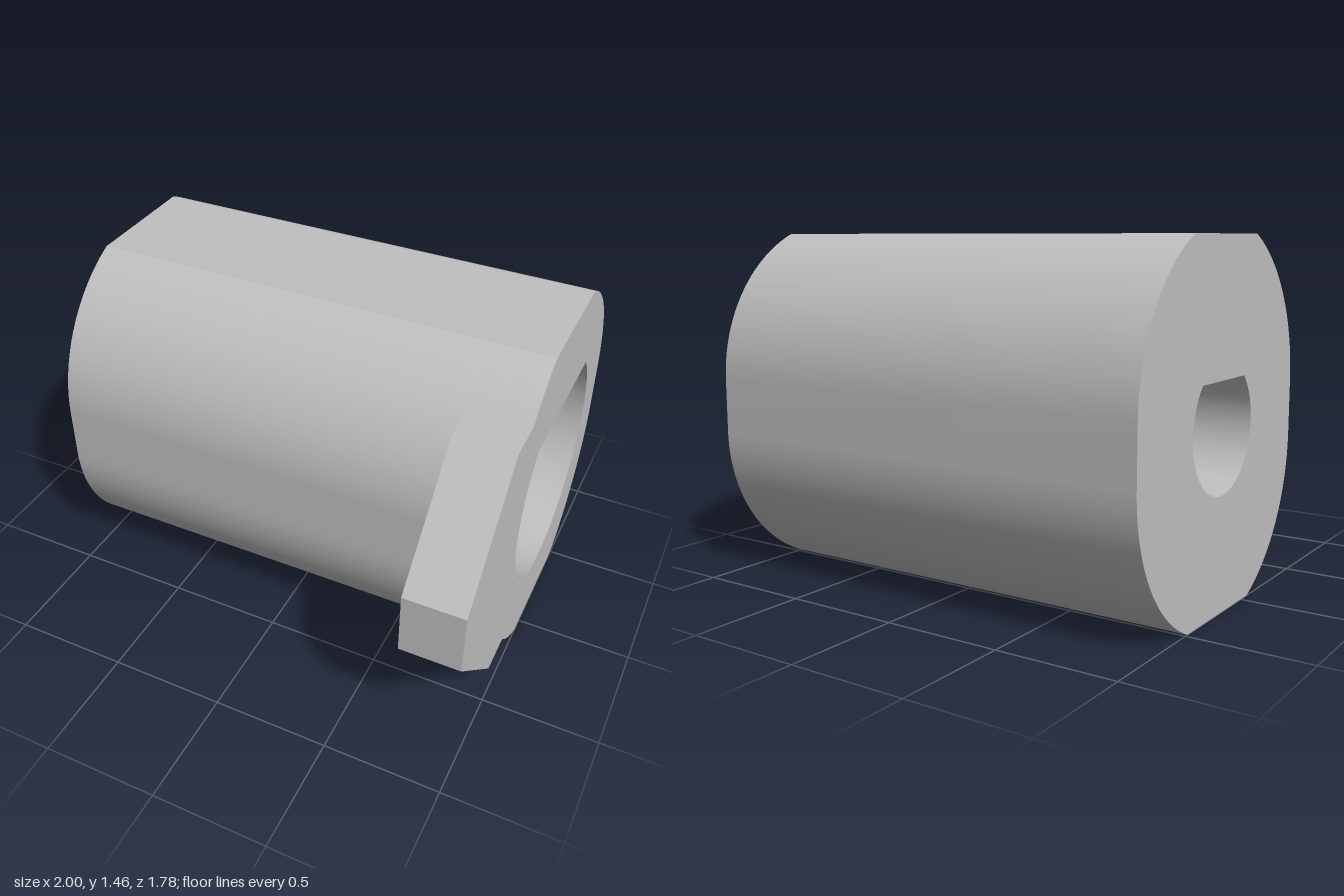
import * as THREE from 'three';
import { toCreasedNormals } from 'three/addons/utils/BufferGeometryUtils.js';

// Cross-sections are drawn with u = -z and v = y, then extruded along x.
const CU = 0.212, CY = 0.732;   // bore axis
const R = 0.676, C = 0.113;     // side arc radius, offset of arc centres from the axis
const FLAT = Math.acos(0.271 / R); // angle where the arcs meet the top and bottom flats
const STEP = -0.25;             // x where the wide bore ends

// Rounded outline with flat top, bottom and sides
function bodyOutline() {
  const s = new THREE.Shape();
  s.absarc(CU, CY - C, R, -FLAT, 0, false);
  s.absarc(CU, CY + C, R, 0, FLAT, false);
  s.absarc(CU, CY + C, R, Math.PI - FLAT, Math.PI, false);
  s.absarc(CU, CY - C, R, Math.PI, Math.PI + FLAT, false);
  s.closePath();
  return s;
}

// Round hole with a 45 degree pointed roof
function teardrop(r) {
  const p = new THREE.Path();
  p.moveTo(CU, CY + r * Math.SQRT2);
  p.absarc(CU, CY, r, Math.PI * 0.75, Math.PI * 2.25, false);
  p.closePath();
  return p;
}

// Pointed lug whose inner edge follows the body
function lugOutline() {
  const a = Math.acos(0.498 / R);
  const s = new THREE.Shape();
  s.absarc(CU, CY + C, R, Math.PI - a, Math.PI, false);
  s.absarc(CU, CY - C, R, Math.PI, Math.PI + a, false);
  const h = C + R * Math.sin(a);
  s.lineTo(-0.464, CY - h);
  s.lineTo(-0.89, CY - 0.135);
  s.lineTo(-0.89, CY + 0.135);
  s.lineTo(-0.464, CY + h);
  s.closePath();
  return s;
}

function extrudeX(name, shape, x0, x1, material) {
  const geo = new THREE.ExtrudeGeometry(shape, { depth: x1 - x0, bevelEnabled: false, curveSegments: 40 });
  geo.translate(0, 0, x0);
  geo.rotateY(Math.PI / 2);
  const mesh = new THREE.Mesh(toCreasedNormals(geo, 0.3), material);
  mesh.name = name;
  return mesh;
}

export function createModel() {
  const group = new THREE.Group();
  group.name = 'boredHousing';
  const grey = new THREE.MeshStandardMaterial({ color: 0xc0c0c0 });
  grey.name = 'light grey';

  // Narrow bore section
  const back = bodyOutline();
  back.holes.push(teardrop(0.261));
  group.add(extrudeX('narrowBoreBody', back, -1, STEP, grey));

  // Wide bore section
  const front = bodyOutline();
  front.holes.push(teardrop(0.487));
  group.add(extrudeX('wideBoreBody', front, STEP, 1, grey));

  // Side lug at the open end
  group.add(extrudeX('sideLug', lugOutline(), 0.75, 1, grey));
  return group;
}
